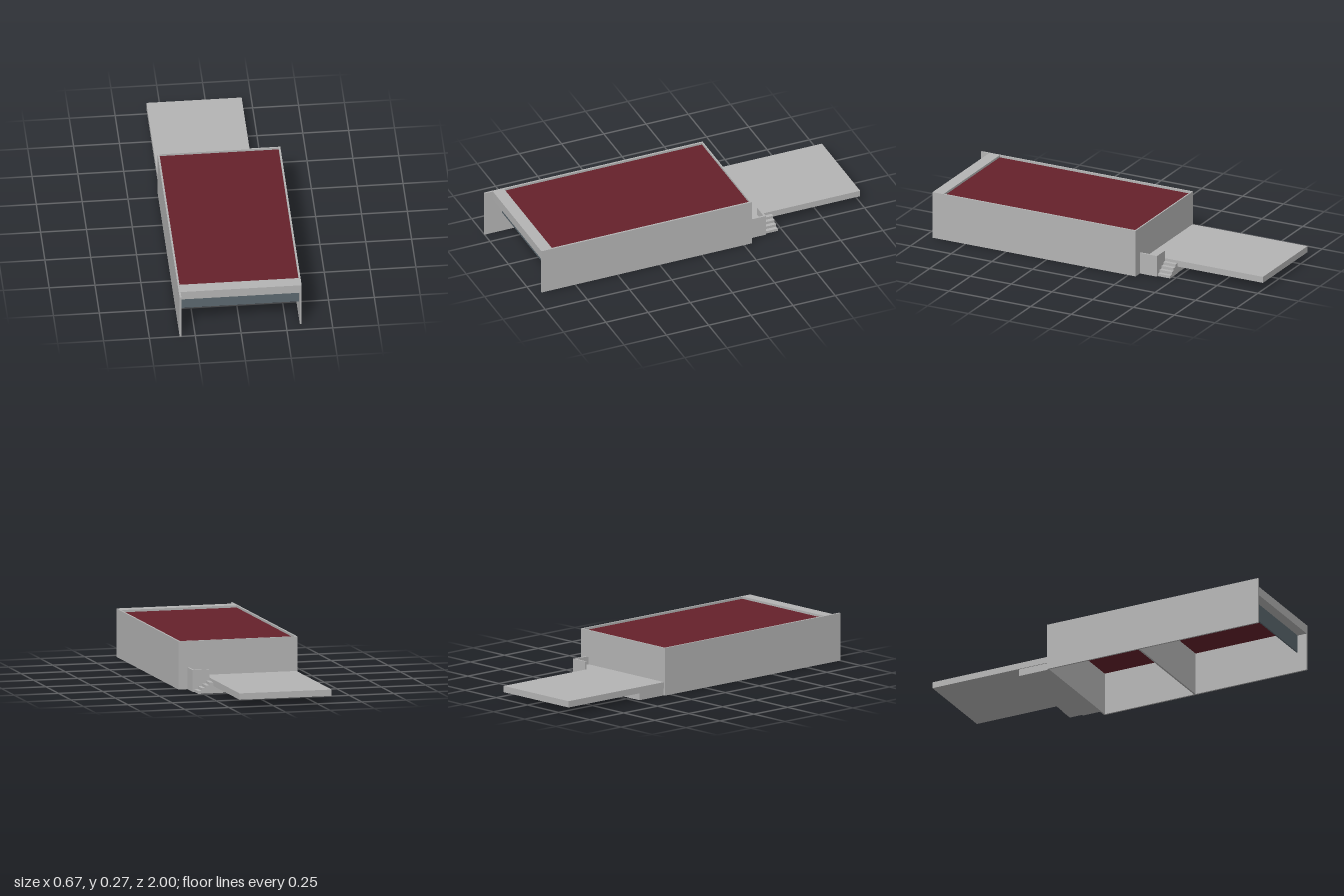
import * as THREE from 'three';

export function createModel() {
  const model = new THREE.Group();
  const material = (name, color) => {
    const m = new THREE.MeshStandardMaterial({ color });
    m.name = name;
    return m;
  };
  const concrete = material('concrete grey', 0xb4b4b4);
  const roofRed = material('roof red', 0x66212b);
  const glass = material('slate glass', 0x5b676e);

  // Box given by its extents along each axis
  const slab = (name, mat, [x0, x1], [y0, y1], [z0, z1], parent = model) => {
    const mesh = new THREE.Mesh(new THREE.BoxGeometry(x1 - x0, y1 - y0, z1 - z0), mat);
    mesh.position.set((x0 + x1) / 2, (y0 + y1) / 2, (z0 + z1) / 2);
    mesh.name = name;
    parent.add(mesh);
    return mesh;
  };

  // Main hall: open underneath, with one side wall running further forward
  const H = 0.265;
  slab('leftWall', concrete, [0.325, 0.335], [0, H], [-0.295, 0.95]);
  slab('rightWall', concrete, [-0.335, -0.325], [0, H], [-0.295, 1]);
  slab('backWall', concrete, [-0.325, 0.325], [0, H], [-0.295, -0.287]);
  slab('partition', concrete, [-0.325, 0.325], [0, 0.243], [0.26, 0.27]);
  slab('roof', roofRed, [-0.325, 0.325], [0.243, 0.253], [-0.287, 0.885]);

  // Front beam with the window band below it
  slab('frontBeam', concrete, [-0.325, 0.335], [0.215, H + 0.0005], [0.885, 0.951]);
  slab('frontWindow', glass, [-0.325, 0.325], [0.115, 0.215], [0.888, 0.896]);

  // Rear terrace on its foundation
  slab('terrace', concrete, [-0.33, 0.19], [0.04, 0.075], [-1, -0.295]);
  slab('terraceFoundation', concrete, [-0.325, 0.19], [0, 0.04], [-0.472, -0.295]);

  // Side landing with a thin parapet around its corner
  slab('landing', concrete, [0.19, 0.275], [0, 0.075], [-0.39, -0.295]);
  slab('landingSideParapet', concrete, [0.275, 0.285], [0, 0.12], [-0.4, -0.295]);
  slab('landingBackParapet', concrete, [0.19, 0.275], [0, 0.12], [-0.4, -0.39]);

  // Steps going down sideways from the terrace
  const steps = new THREE.Group();
  steps.name = 'steps';
  model.add(steps);
  const count = 4, run = 0.0213, rise = 0.015;
  for (let i = 0; i < count; i++) {
    const x = 0.19 + i * run;
    slab('step', concrete, [x, x + run], [0, (count - i) * rise], [-0.475, -0.4], steps);
  }

  return model;
}
